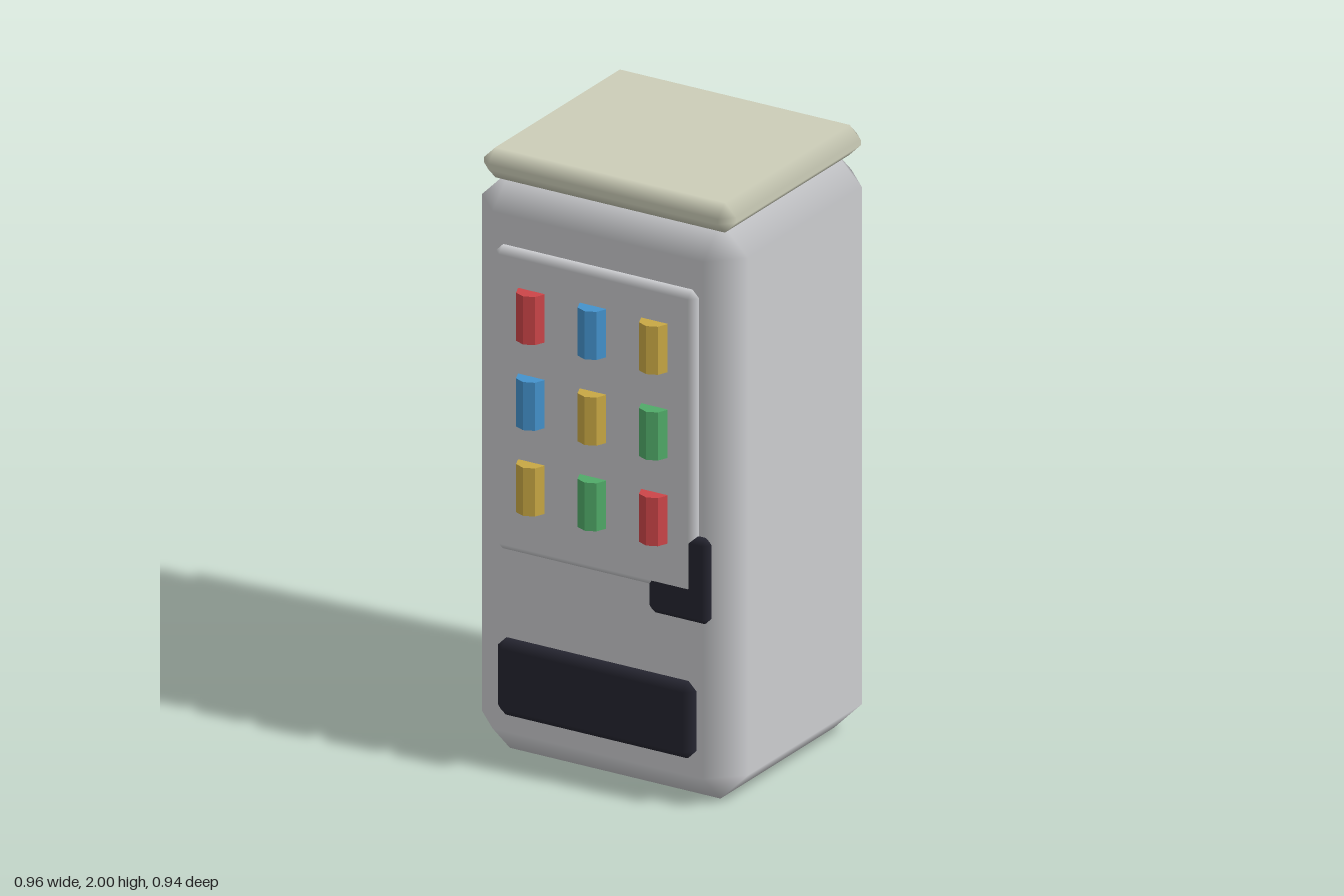
import * as THREE from 'three';
import { ConvexGeometry } from 'three/addons/geometries/ConvexGeometry.js';

const mat = (name, color) => new THREE.MeshStandardMaterial({ name, color });

// Box between two corners with one chamfer of size c. Each corner point takes the
// normal of the flat face it lies on, so faces stay flat and chamfers shade softly.
function chamferBox(name, min, max, c, material) {
  const half = min.map((m, i) => (max[i] - m) / 2);
  const points = [];
  for (const sx of [-1, 1]) for (const sy of [-1, 1]) for (const sz of [-1, 1]) {
    for (let axis = 0; axis < 3; axis++) {
      const p = half.map((h, i) => (i === axis ? h : h - c));
      points.push(new THREE.Vector3(p[0] * sx, p[1] * sy, p[2] * sz));
    }
  }
  const geo = new ConvexGeometry(points);
  const pos = geo.attributes.position, normal = geo.attributes.normal;
  for (let i = 0; i < pos.count; i++) {
    const p = [pos.getX(i), pos.getY(i), pos.getZ(i)];
    const n = p.map((v, k) => (Math.abs(v) > half[k] - c / 2 ? Math.sign(v) : 0));
    normal.setXYZ(i, n[0], n[1], n[2]);
  }
  const mesh = new THREE.Mesh(geo, material);
  mesh.name = name;
  mesh.position.set(...min.map((m, i) => (m + max[i]) / 2));
  return mesh;
}

export function createModel() {
  const model = new THREE.Group();
  model.name = 'vendingMachine';

  const grey = mat('cabinetGrey', 0xcbcccf);
  const cream = mat('roofCream', 0xcccdb8);
  const dark = mat('darkPlastic', 0x252530);
  const cans = {
    R: mat('canRed', 0xcc4548),
    B: mat('canBlue', 0x4492cc),
    Y: mat('canYellow', 0xc8a844),
    G: mat('canGreen', 0x50aa68),
  };
  for (const m of Object.values(cans)) m.flatShading = true;

  // Cabinet, roof, display panel, coin panel and delivery tray
  model.add(
    chamferBox('cabinet', [-0.48, 0, -0.47], [0.48, 1.92, 0.39], 0.1, grey),
    chamferBox('roof', [-0.455, 1.9, -0.445], [0.455, 2, 0.36], 0.041, cream),
    chamferBox('displayPanel', [-0.365, 0.71, 0.365], [0.365, 1.72, 0.418], 0.024, grey),
    chamferBox('coinPanel', [0.19, 0.62, 0.371], [0.41, 0.905, 0.416], 0.02, dark),
    chamferBox('deliveryTray', [-0.357, 0.16, 0.362], [0.355, 0.415, 0.424], 0.028, dark),
  );

  // Three rows of octagonal cans, half sunk into the display panel
  const canGeometry = new THREE.CylinderGeometry(0.048, 0.048, 0.16, 8);
  const canGroup = new THREE.Group();
  canGroup.name = 'cans';
  ['RBY', 'BYG', 'YGR'].forEach((row, r) => {
    [...row].forEach((key, c) => {
      const can = new THREE.Mesh(canGeometry, cans[key]);
      can.name = `can${r + 1}${c + 1}`;
      can.position.set((c - 1) * 0.222, 1.52 - r * 0.285, 0.42);
      canGroup.add(can);
    });
  });
  model.add(canGroup);
  return model;
}
